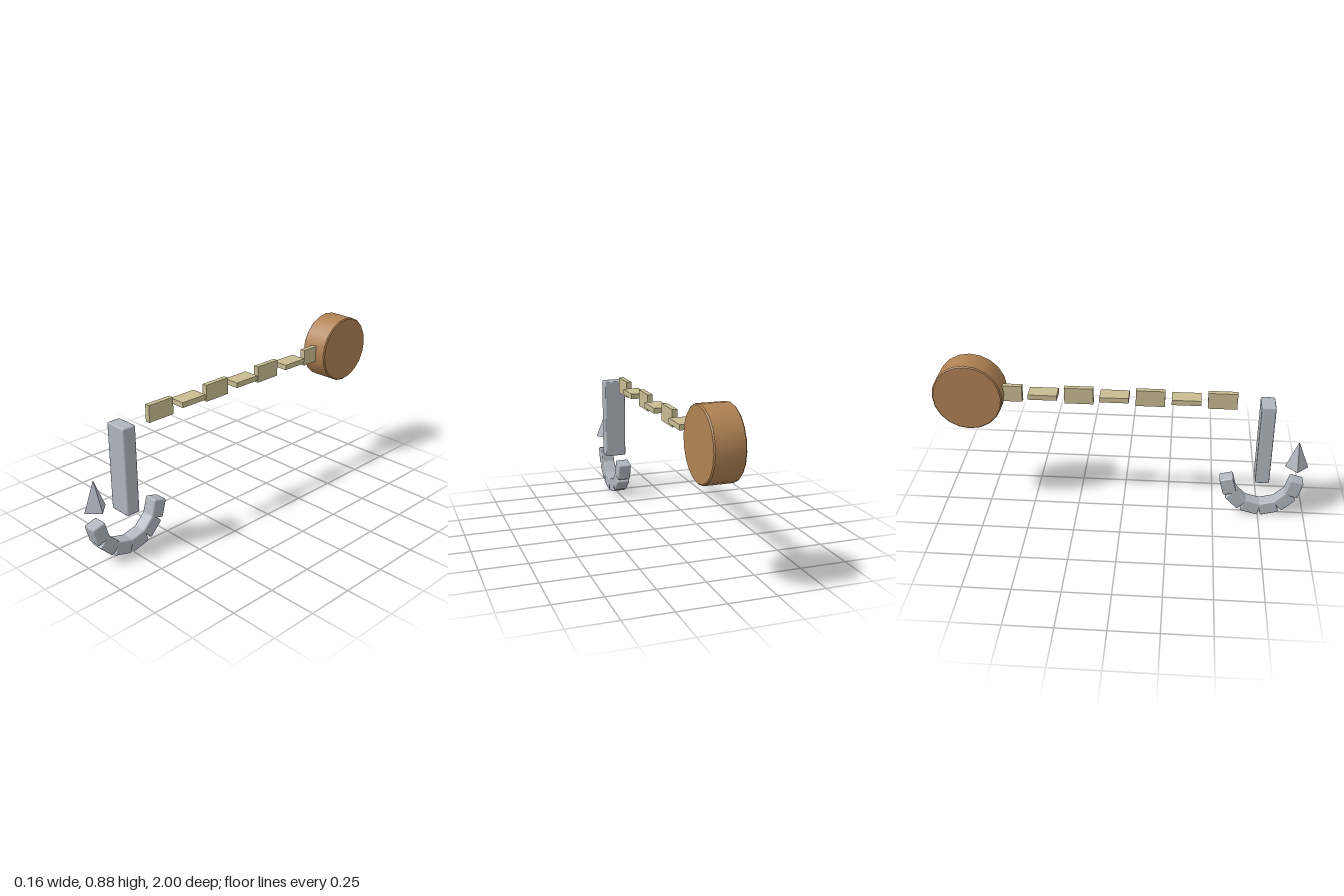
import * as THREE from 'three';
import { RoundedBoxGeometry } from 'three/addons/geometries/RoundedBoxGeometry.js';
import { toCreasedNormals } from 'three/addons/utils/BufferGeometryUtils.js';

export function createModel() {
  const material = (name, color) => {
    const m = new THREE.MeshStandardMaterial({ color });
    m.name = name;
    return m;
  };
  const steel = material('steel', 0xb0b5be);
  const wood = material('wood', 0xb08253);
  const rope = material('rope', 0xc9bc92);

  const model = new THREE.Group();
  model.name = 'grapplingHook';
  const add = (name, geometry, mat, y, z, parent = model) => {
    const mesh = new THREE.Mesh(geometry, mat);
    mesh.name = name;
    mesh.position.set(0, y, z);
    parent.add(mesh);
    return mesh;
  };

  // Wooden reel: bevelled drum with its axle along x
  const R = 0.185, W = 0.078, B = 0.006;
  const profile = [[0, -W], [R - B, -W], [R, -W + B], [R, W - B], [R - B, W], [0, W]]
    .map(([r, y]) => new THREE.Vector2(r, y));
  const drum = toCreasedNormals(new THREE.LatheGeometry(profile, 20), 0.5);
  drum.rotateZ(Math.PI / 2);
  add('reel', drum, wood, 0.701, -0.812);

  // Rope: seven links, alternately upright and flat
  const links = new THREE.Group();
  links.name = 'rope';
  model.add(links);
  for (let i = 0; i < 7; i++) {
    const upright = i % 2 === 0;
    const link = new THREE.BoxGeometry(upright ? 0.028 : 0.09, upright ? 0.09 : 0.028, 0.153);
    add('ropeLink' + (i + 1), link, rope, 0.702, 0.52 - i * 0.188, links);
  }

  // Shank
  add('shank', new RoundedBoxGeometry(0.124, 0.467, 0.075, 1, 0.008), steel, 0.4665, 0.756);

  // Hook bend: six blocks around a half circle
  const bend = new THREE.Group();
  bend.name = 'hookBend';
  model.add(bend);
  for (let i = 0; i < 6; i++) {
    const a = THREE.MathUtils.degToRad(15 + 30 * i);
    const block = add('hookBlock' + (i + 1), new RoundedBoxGeometry(0.076, 0.1, 0.075, 1, 0.008),
      steel, 0.231 - 0.185 * Math.sin(a), 0.756 + 0.185 * Math.cos(a), bend);
    block.rotation.x = a;
  }

  // Four-sided barb
  const barb = new THREE.ConeGeometry(0.062, 0.155, 4).toNonIndexed();
  barb.computeVertexNormals();
  add('barb', barb, steel, 0.3875, 0.938);

  return model;
}
